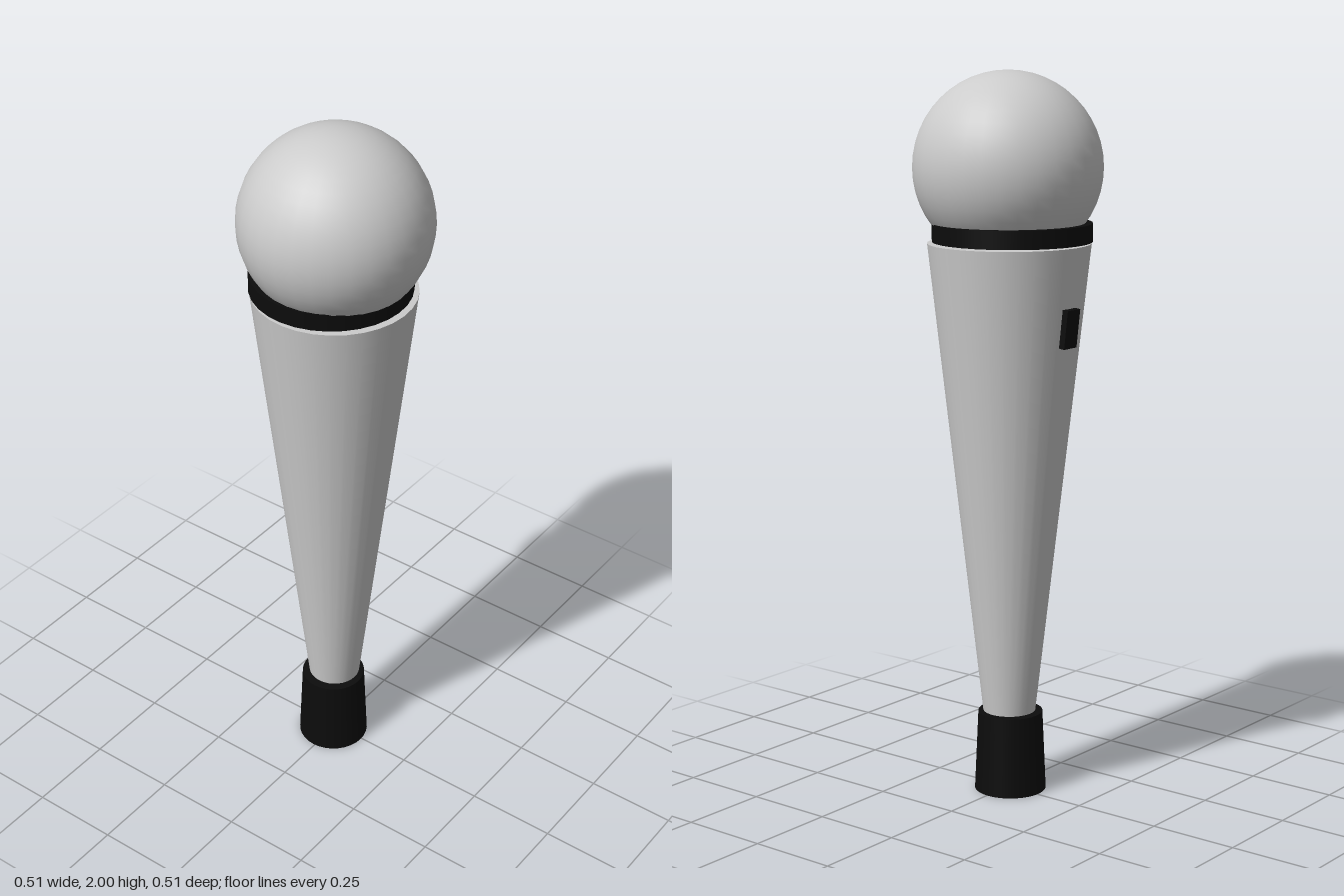
import * as THREE from 'three';

const grey = new THREE.MeshStandardMaterial({ color: 0xcccccc });
const black = new THREE.MeshStandardMaterial({ color: 0x0c0c0c });

// Upright tapered cylinder between two heights, centred on (x, z)
function taper(name, rTop, rBottom, y0, y1, x, z, material) {
  const geometry = new THREE.CylinderGeometry(rTop, rBottom, y1 - y0, 32);
  const mesh = new THREE.Mesh(geometry, material);
  mesh.name = name;
  mesh.position.set(x, (y0 + y1) / 2, z);
  return mesh;
}

export function createModel() {
  const model = new THREE.Group();
  model.name = 'microphone';

  // Round head
  const head = new THREE.Mesh(new THREE.SphereGeometry(0.257, 32, 24), grey);
  head.name = 'head';
  head.position.y = 1.743;
  model.add(head);

  // Collar, tapered handle and end cap
  model.add(taper('collar', 0.217, 0.217, 1.545, 1.595, 0, -0.015, black));
  model.add(taper('handle', 0.222, 0.073, 0.23, 1.54, 0, -0.005, grey));
  model.add(taper('endCap', 0.09, 0.1, 0, 0.226, -0.005, -0.005, black));

  // Switch on the back, leaning with the handle's taper
  const button = new THREE.Mesh(new THREE.BoxGeometry(0.055, 0.105, 0.022), black);
  button.name = 'switch';
  button.position.set(0, 1.325, -0.206);
  button.rotation.x = -Math.atan((0.222 - 0.073) / 1.31);
  model.add(button);

  return model;
}
